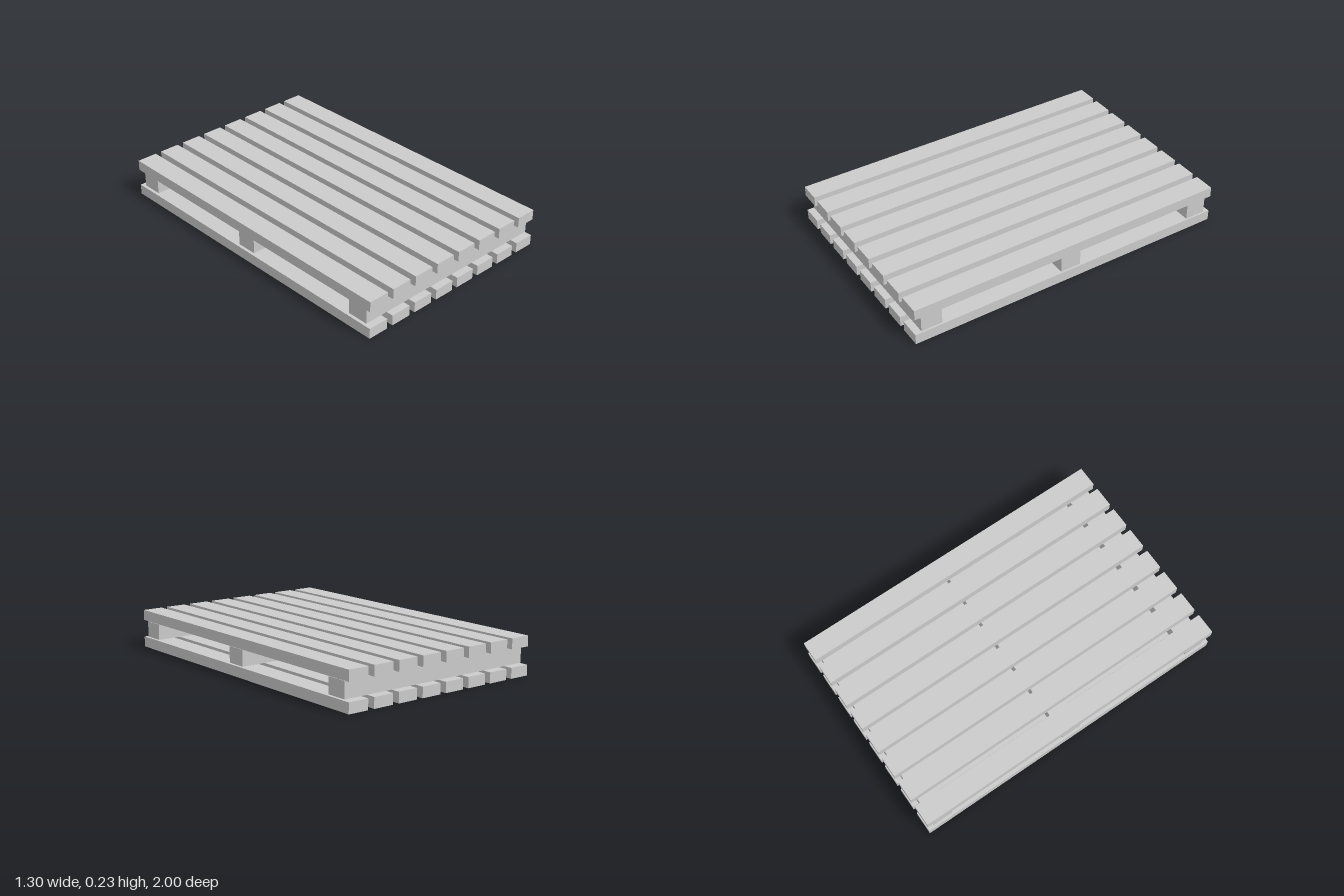
import * as THREE from 'three';

export function createModel() {
  const group = new THREE.Group();
  const material = new THREE.MeshStandardMaterial({ color: 0xcccccc, flatShading: true });

  // A plank from its size and centre
  function plank(name, [w, h, d], [x, y, z]) {
    const mesh = new THREE.Mesh(new THREE.BoxGeometry(w, h, d), material);
    mesh.name = name;
    mesh.position.set(x, y, z);
    group.add(mesh);
  }

  // Top and bottom decks: eight lengthwise slats each
  const slatCount = 8, pitch = 0.168, slatSize = [0.128, 0.063, 2];
  for (let i = 0; i < slatCount; i++) {
    const x = (i - (slatCount - 1) / 2) * pitch;
    plank('topSlat', slatSize, [x, 0.201, 0]);
    plank('bottomSlat', slatSize, [x, 0.0325, 0]);
  }

  // Three cross bearers between the decks, set slightly towards the left
  for (const z of [-0.897, 0, 0.897]) {
    plank('crossBearer', [1.286, 0.096, 0.128], [0.004, 0.118, z]);
  }

  return group;
}
